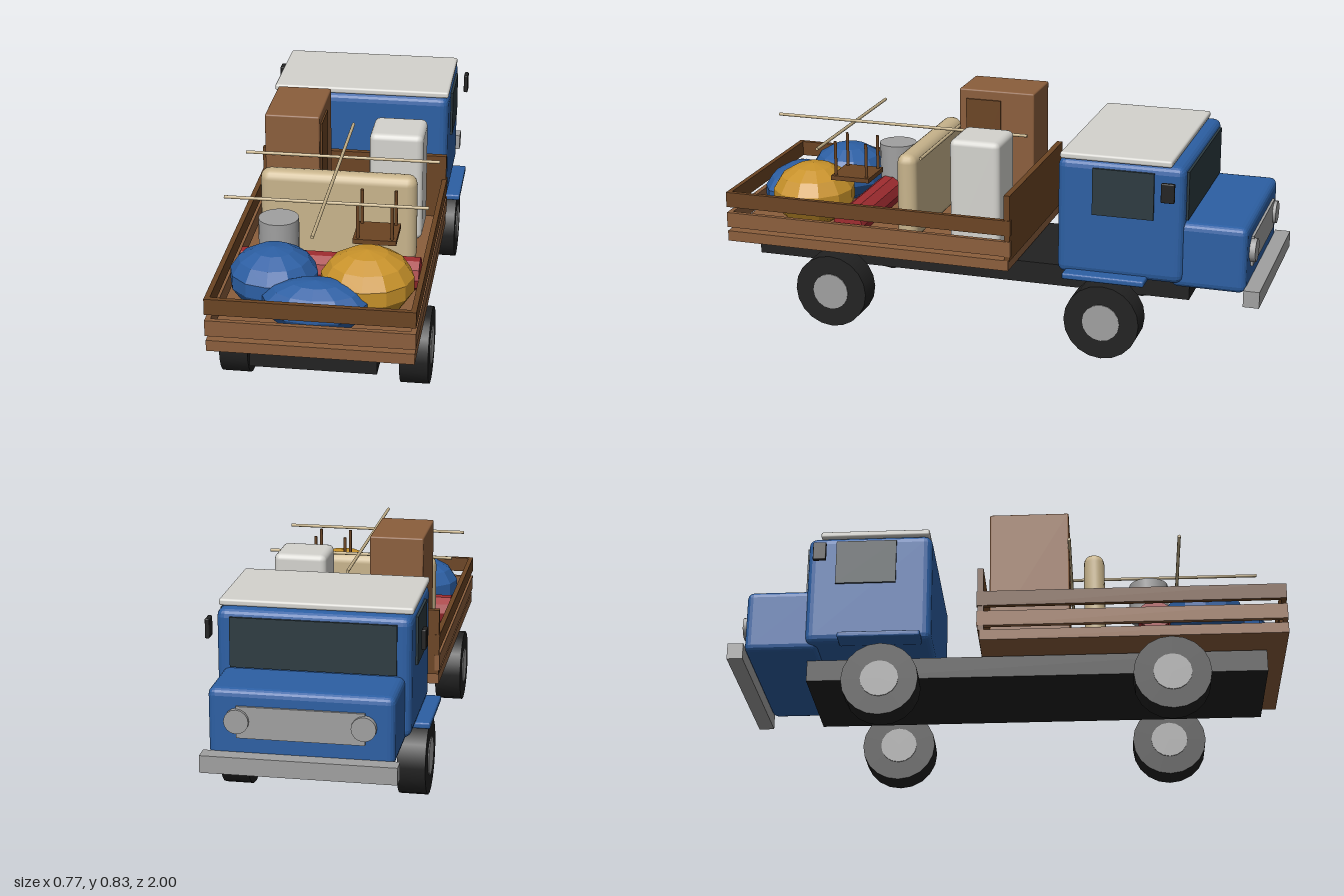
import * as THREE from 'three';
import { RoundedBoxGeometry } from 'three/addons/geometries/RoundedBoxGeometry.js';

const mat = (name, color, flatShading = false) => {
  const m = new THREE.MeshStandardMaterial({ color });
  m.name = name;
  m.flatShading = flatShading;
  return m;
};

export function createModel() {
  const truck = new THREE.Group();
  truck.name = 'loadedTruck';

  const blue = mat('blue', 0x2c5fa3, true);
  const brown = mat('brown', 0x8b5e3c);
  const darkBrown = mat('darkBrown', 0x6b4423);
  const black = mat('black', 0x222222);
  const glass = mat('glass', 0x2c3a40);
  const grey = mat('grey', 0xa0a0a0);
  const white = mat('offWhite', 0xd4d3ce);
  const tan = mat('tan', 0xc8b48c);
  const red = mat('red', 0xa02c30, true);
  const yellow = mat('ochre', 0xc8922a, true);

  const add = (name, geometry, material, x = 0, y = 0, z = 0) => {
    const mesh = new THREE.Mesh(geometry, material);
    mesh.name = name;
    mesh.position.set(x, y, z);
    truck.add(mesh);
    return mesh;
  };
  // Box given by its limits on each axis; r > 0 rounds the edges
  const box = (name, material, [x0, x1], [y0, y1], [z0, z1], r = 0) => {
    const s = [x1 - x0, y1 - y0, z1 - z0];
    const g = r ? new RoundedBoxGeometry(...s, 2, r) : new THREE.BoxGeometry(...s);
    return add(name, g, material, (x0 + x1) / 2, (y0 + y1) / 2, (z0 + z1) / 2);
  };
  // Cylinder lying along an axis
  const rod = (name, material, axis, r, length, x, y, z, sides = 20) => {
    const g = new THREE.CylinderGeometry(r, r, length, sides);
    if (axis === 'x') g.rotateZ(Math.PI / 2);
    if (axis === 'z') g.rotateX(Math.PI / 2);
    return add(name, g, material, x, y, z);
  };

  // Chassis and wheels
  box('chassis', black, [-0.215, 0.215], [0.2, 0.28], [-0.73, 0.93]);
  for (const s of [-1, 1]) {
    for (const z of [-0.445, 0.585]) {
      rod('tyre', black, 'x', 0.137, 0.1, s * 0.315, 0.137, z);
      rod('hub', grey, 'x', 0.068, 0.107, s * 0.315, 0.137, z, 16);
    }
  }

  // Cab, bonnet and roof
  box('cab', blue, [-0.333, 0.333], [0.297, 0.725], [-0.725, -0.27], 0.03);
  box('bonnet', blue, [-0.312, 0.312], [0.28, 0.52], [-0.945, -0.68], 0.025);
  box('roof', white, [-0.333, 0.333], [0.723, 0.747], [-0.68, -0.28], 0.008);
  box('windscreen', glass, [-0.285, 0.285], [0.525, 0.7], [-0.733, -0.724]);
  for (const s of [-1, 1]) {
    const span = (a, b) => (s > 0 ? [a, b] : [-b, -a]);
    box('sideWindow', glass, span(0.332, 0.341), [0.53, 0.7], [-0.62, -0.4]);
    box('mirror', black, span(0.362, 0.378), [0.61, 0.68], [-0.7, -0.652], 0.004);
    box('runningBoard', blue, span(0.3, 0.383), [0.293, 0.316], [-0.6, -0.303], 0.007);
    rod('headlight', grey, 'z', 0.042, 0.03, s * 0.212, 0.415, -0.951, 16);
  }
  box('grille', grey, [-0.215, 0.215], [0.355, 0.465], [-0.954, -0.94]);
  box('bumper', grey, [-0.33, 0.33], [0.243, 0.303], [-1, -0.943]);

  // Load bed with slatted sides and tailgate
  box('bedFloor', brown, [-0.347, 0.347], [0.286, 0.325], [-0.095, 1]);
  box('headboard', darkBrown, [-0.347, 0.347], [0.325, 0.57], [-0.102, -0.08]);
  for (const [y0, y1, m] of [[0.341, 0.398, brown], [0.42, 0.477, darkBrown]]) {
    box('leftSlat', m, [0.332, 0.35], [y0, y1], [-0.105, 1]);
    box('rightSlat', m, [-0.35, -0.332], [y0, y1], [-0.105, 1]);
    box('tailSlat', m, [-0.332, 0.332], [y0, y1], [0.982, 1]);
  }

  // Furniture
  box('wardrobe', brown, [-0.28, -0.083], [0.325, 0.826], [-0.063, 0.228], 0.006);
  box('wardrobeDoor', darkBrown, [-0.084, -0.077], [0.37, 0.79], [0.065, 0.2]);
  box('fridge', white, [0.085, 0.28], [0.328, 0.737], [-0.04, 0.148], 0.022);
  box('mattress', tan, [-0.28, 0.28], [0.327, 0.66], [0.28, 0.355], 0.034);
  rod('rolledCarpet', red, 'x', 0.058, 0.63, 0, 0.384, 0.531, 10);
  rod('bucket', grey, 'y', 0.071, 0.135, -0.183, 0.494, 0.515, 18);

  // Upturned stool
  box('stoolSeat', darkBrown, [0.09, 0.24], [0.528, 0.545], [0.474, 0.622]);
  for (const x of [0.106, 0.224]) {
    for (const z of [0.488, 0.608]) rod('stoolLeg', darkBrown, 'y', 0.006, 0.13, x, 0.608, z, 8);
  }

  // Flattened sacks: centre, then radii
  const sacks = [
    [blue, [-0.166, 0.435, 0.713], [0.155, 0.11, 0.15]],
    [yellow, [0.156, 0.443, 0.727], [0.163, 0.118, 0.155]],
    [blue, [0, 0.412, 0.858], [0.186, 0.088, 0.115]],
  ];
  for (const [m, c, r] of sacks) {
    add('sack', new THREE.SphereGeometry(1, 12, 7), m, ...c).scale.set(...r);
  }

  // Poles over the load
  for (const z of [0.23, 0.628]) rod('crossPole', tan, 'x', 0.006, 0.7, 0, 0.679, z, 8);
  rod('ridgePole', tan, 'z', 0.006, 0.99, 0, 0.689, 0.433, 8);

  return truck;
}
